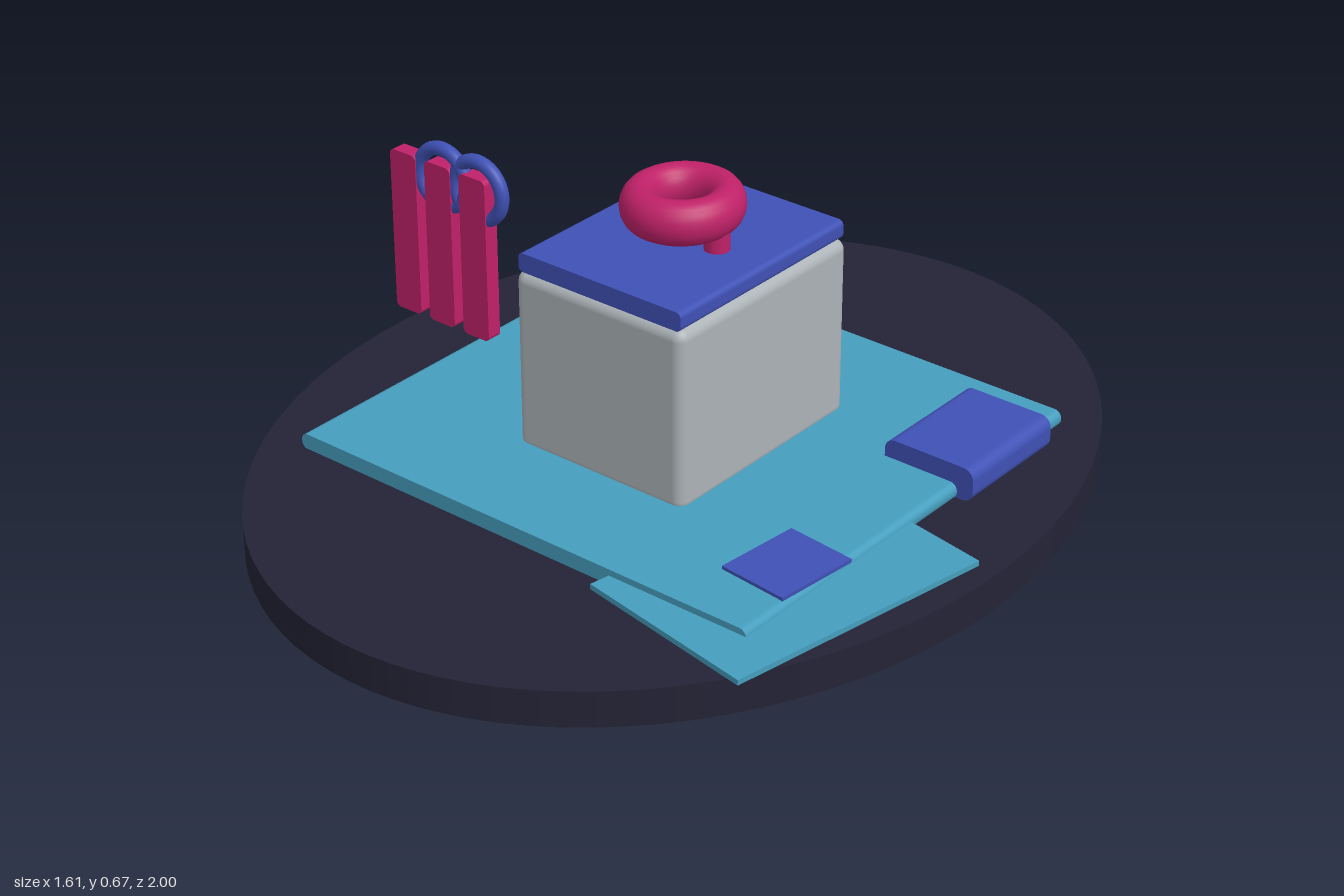
import * as THREE from 'three';
import { RoundedBoxGeometry } from 'three/addons/geometries/RoundedBoxGeometry.js';

function paint(name, color) {
  const m = new THREE.MeshStandardMaterial({ color });
  m.name = name;
  return m;
}

// Slab with corners rounded in the x-y plane and flat front and back
function slab(x0, x1, y0, y1, z0, z1, r) {
  const s = new THREE.Shape();
  s.moveTo(x0 + r, y0);
  s.lineTo(x1 - r, y0);
  s.absarc(x1 - r, y0 + r, r, -Math.PI / 2, 0);
  s.absarc(x1 - r, y1 - r, r, 0, Math.PI / 2);
  s.absarc(x0 + r, y1 - r, r, Math.PI / 2, Math.PI);
  s.absarc(x0 + r, y0 + r, r, Math.PI, Math.PI * 1.5);
  const g = new THREE.ExtrudeGeometry(s, { depth: z1 - z0, bevelEnabled: false, curveSegments: 5 });
  return g.translate(0, 0, z0);
}

export function createModel() {
  const model = new THREE.Group();
  const navy = paint('dark navy', 0x232336);
  const teal = paint('teal', 0x459dbd);
  const grey = paint('light grey', 0xacb3b7);
  const blue = paint('indigo blue', 0x3f51b5);
  const pink = paint('raspberry', 0xbf2168);

  const add = (name, geometry, material, parent = model) => {
    const mesh = new THREE.Mesh(geometry, material);
    mesh.name = name;
    parent.add(mesh);
    return mesh;
  };

  // Oval base
  add('base', new THREE.CylinderGeometry(1, 1, 0.08, 96).scale(0.807, 1, 1).translate(0, 0.04, 0), navy);

  // Flat mat and the loose sheet tucked under its corner
  add('mat', slab(-0.585, 0.585, 0.078, 0.115, -0.535, 0.53, 0.017), teal);
  const sheet = add('looseSheet', new THREE.BoxGeometry(0.427, 0.012, 0.625), teal);
  sheet.position.set(0.505, 0.095, 0.305);
  sheet.rotation.y = -0.177;

  // Small tag and folded block on the mat
  const tag = add('tag', new THREE.BoxGeometry(0.16, 0.008, 0.195), blue);
  tag.position.set(0.505, 0.118, 0.302);
  tag.rotation.y = -0.1;
  add('foldedBlock', slab(0.405, 0.623, 0.083, 0.158, -0.435, -0.155, 0.025), blue);

  // Box with lid
  add('box', new RoundedBoxGeometry(0.435, 0.41, 0.54, 3, 0.025).translate(-0.001, 0.302, 0), grey);
  add('lid', slab(-0.211, 0.208, 0.505, 0.547, -0.262, 0.262, 0.012), blue);

  // Ring handle on two posts
  const handle = new THREE.Group();
  handle.name = 'handle';
  model.add(handle);
  const ring = add('handleRing', new THREE.TorusGeometry(0.0875, 0.039, 20, 48).rotateX(Math.PI / 2), pink, handle);
  ring.scale.set(1, 1.23, 1.05);
  ring.position.y = 0.621;
  for (const side of [-1, 1]) {
    const post = add('handlePost', new THREE.CylinderGeometry(0.027, 0.027, 0.07, 20), pink, handle);
    post.position.set(side * 0.088, 0.578, 0);
  }

  // Hanging bars with two linked rings
  const hanger = new THREE.Group();
  hanger.name = 'hangingSet';
  model.add(hanger);
  for (let i = 0; i < 3; i++) {
    const x = -0.764 + i * 0.1;
    add('hangingBar', slab(x - 0.037, x + 0.037, 0.13, 0.513, -0.018, 0.018, 0.012), pink, hanger);
  }
  for (const x of [-0.662, -0.56]) {
    add('linkRing', new THREE.TorusGeometry(0.067, 0.016, 14, 40).translate(x, 0.478, 0), blue, hanger);
  }

  return model;
}
